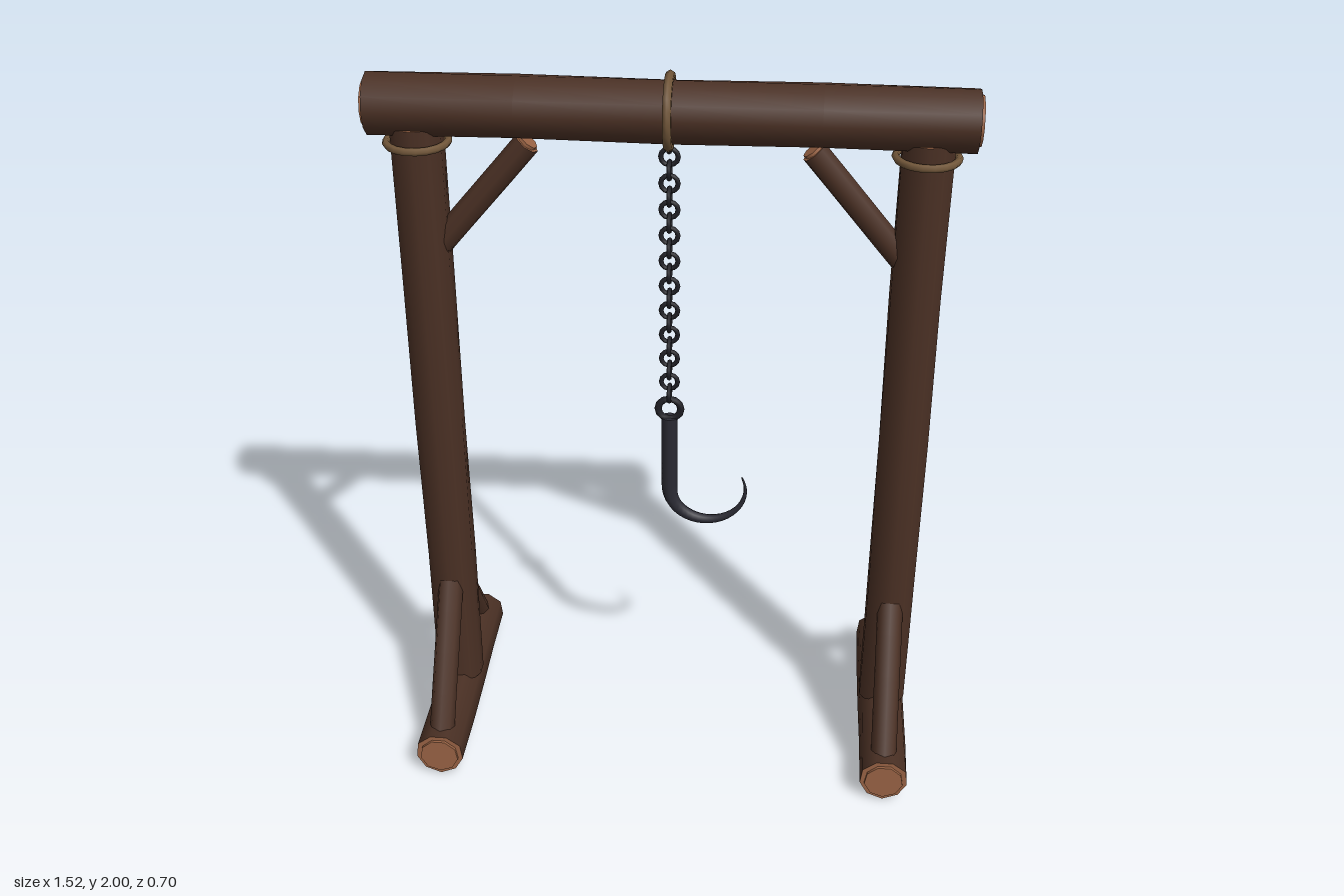
import * as THREE from 'three';

const mat = (name, color) => {
  const m = new THREE.MeshStandardMaterial({ color });
  m.name = name;
  return m;
};
const V = (x, y, z) => new THREE.Vector3(x, y, z);

export function createModel() {
  const wood = mat('dark wood', 0x4a3024);
  const grain = mat('cut end grain', 0x9a6445);
  const rope = mat('rope', 0x72573a);
  const iron = mat('dark iron', 0x2a2a33);
  const chainIron = mat('chain iron', 0x1f1f25);

  const model = new THREE.Group();
  const add = (name, geo, material, parent = model) => {
    const mesh = new THREE.Mesh(geo, material);
    mesh.name = name;
    parent.add(mesh);
    return mesh;
  };

  // Slightly uneven log running from a to b, with a thin disc on each cut end
  const log = (name, a, b, radius, sides = 10) => {
    const group = new THREE.Group();
    group.name = name;
    const length = a.distanceTo(b);
    const geo = new THREE.CylinderGeometry(radius, radius, length, sides, 4);
    const p = geo.attributes.position;
    for (let i = 0; i < p.count; i++) {
      const angle = Math.atan2(p.getZ(i), p.getX(i));
      const k = 1 + 0.025 * Math.sin(3 * angle + 9 * p.getY(i));
      p.setX(i, p.getX(i) * k);
      p.setZ(i, p.getZ(i) * k);
    }
    add(name + 'Trunk', geo, [wood, grain, grain], group);
    for (const s of [-1, 1]) {
      const disc = new THREE.CylinderGeometry(radius * 0.8, radius * 0.8, 0.008, sides);
      add(name + 'EndDisc', disc, grain, group).position.y = s * (length / 2 + 0.004);
    }
    group.position.copy(a).add(b).multiplyScalar(0.5);
    group.quaternion.setFromUnitVectors(V(0, 1, 0), b.clone().sub(a).normalize());
    model.add(group);
  };

  // Crossbeam with its rope loop
  log('crossbeam', V(-0.75, 1.9, 0), V(0.75, 1.9, 0), 0.079, 12);
  const loop = add('beamRope', new THREE.TorusGeometry(0.088, 0.012, 6, 20), rope);
  loop.position.y = 1.9;
  loop.rotation.y = Math.PI / 2;

  // Two mirrored supports: foot, post, braces and lashing
  for (const s of [-1, 1]) {
    const x = s * 0.634;
    log('foot', V(x, 0.07, -0.34), V(x, 0.07, 0.34), 0.068, 9);
    log('post', V(x, 0.11, 0), V(x, 1.85, 0), 0.068);
    log('upperBrace', V(s * 0.62, 1.493, 0), V(s * 0.357, 1.807, 0), 0.034, 8);
    for (const f of [-1, 1]) {
      log('footBrace', V(x, 0.1, f * 0.293), V(x, 0.49, f * 0.022), 0.036, 8);
    }
    const lashing = add('postRope', new THREE.TorusGeometry(0.078, 0.01, 6, 18), rope);
    lashing.position.set(x, 1.803, 0);
    lashing.rotation.x = Math.PI / 2;
  }

  // Chain of links turned alternately by a quarter
  const chain = new THREE.Group();
  chain.name = 'chain';
  model.add(chain);
  const linkGeo = new THREE.TorusGeometry(0.022, 0.0065, 6, 12);
  for (let i = -1; i < 20; i++) {
    const link = add('chainLink', linkGeo, chainIron, chain);
    link.position.y = 1.782 - i * 0.0357;
    link.rotation.y = i % 2 ? Math.PI / 2 : 0;
  }

  // Hook eye
  add('hookEye', new THREE.TorusGeometry(0.031, 0.01, 6, 12), chainIron).position.y = 1.055;

  // Hook: straight shank, then a bend tapering to a point
  const path = new THREE.CurvePath();
  path.add(new THREE.LineCurve3(V(0, 1.03, 0), V(0, 0.8, 0)));
  const bend = [];
  for (let i = 0; i <= 12; i++) {
    const t = Math.PI + (i / 12) * 3.6;
    bend.push(V(0.106 + 0.106 * Math.cos(t), 0.8 + 0.1 * Math.sin(t), 0));
  }
  path.add(new THREE.CatmullRomCurve3(bend));
  const steps = 36, sides = 8;
  const hookGeo = new THREE.TubeGeometry(path, steps, 0.022, sides);
  const hp = hookGeo.attributes.position;
  for (let i = 0; i <= steps; i++) {
    const c = path.getPointAt(i / steps);
    const u = Math.max(0, (i / steps - 0.38) / 0.62);
    const k = 1 - 0.9 * u;
    for (let j = 0; j <= sides; j++) {
      const n = i * (sides + 1) + j;
      const v = V(0, 0, 0).fromBufferAttribute(hp, n).sub(c).multiplyScalar(k).add(c);
      hp.setXYZ(n, v.x, v.y, v.z);
    }
  }
  add('hook', hookGeo, iron);
  const top = add('hookTop', new THREE.CircleGeometry(0.022, sides), iron);
  top.position.y = 1.03;
  top.rotation.x = -Math.PI / 2;

  return model;
}
